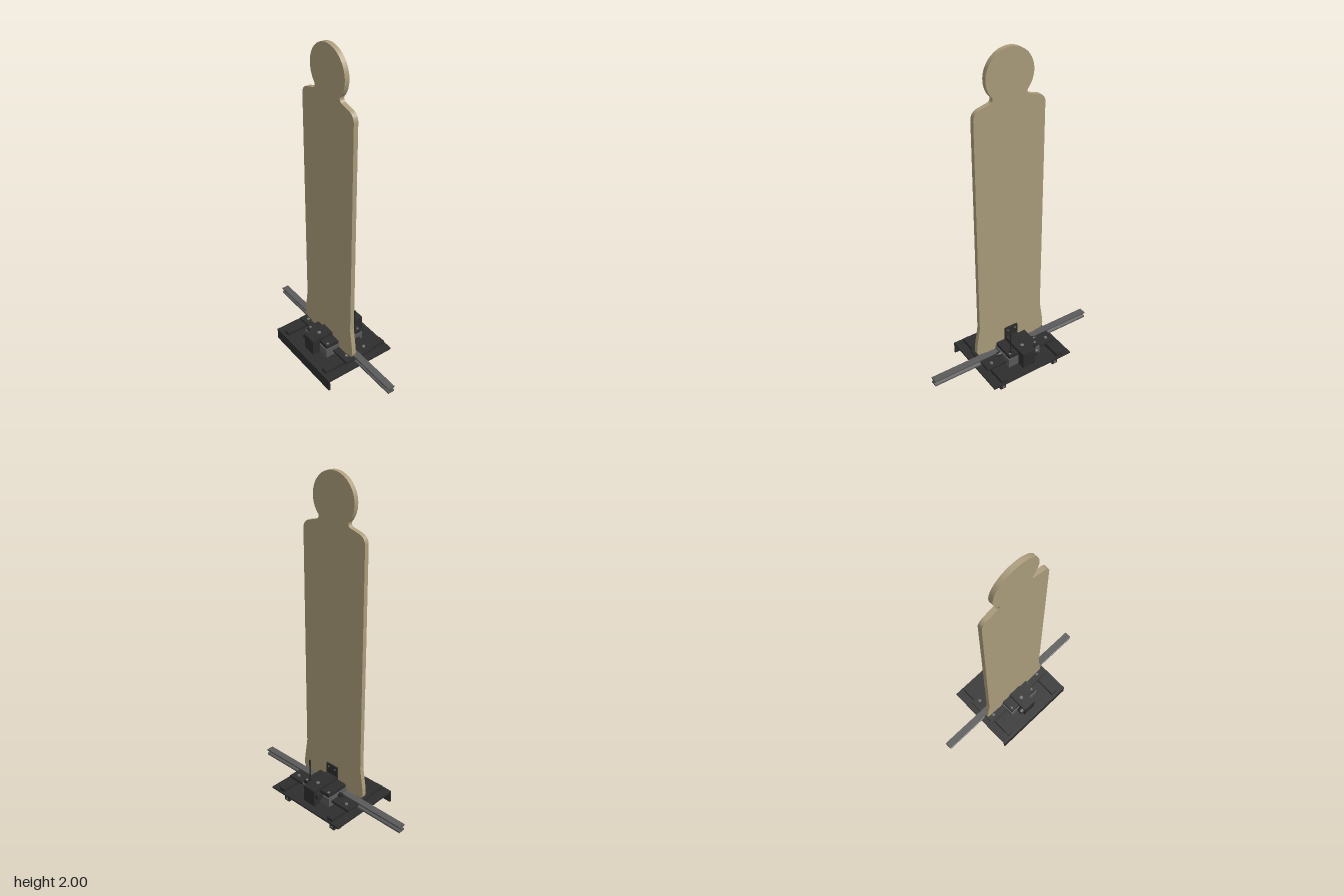
import * as THREE from 'three';

const material = (name, color, side = THREE.FrontSide) => {
  const m = new THREE.MeshStandardMaterial({ color, side });
  m.name = name;
  return m;
};

export function createModel() {
  const model = new THREE.Group();
  model.name = 'targetTrolley';
  const tan = material('tan board', 0xac9d7c);
  const black = material('black steel', 0x2d2d2d);
  const grey = material('grey metal', 0x5a5a5a);
  const light = material('bolt metal', 0x707070);

  const add = (name, geometry, mat) => {
    const mesh = new THREE.Mesh(geometry, mat);
    mesh.name = name;
    model.add(mesh);
    return mesh;
  };
  // Box given by its limits on each axis
  const box = (name, mat, x0, x1, y0, y1, z0, z1) => {
    const mesh = add(name, new THREE.BoxGeometry(x1 - x0, y1 - y0, z1 - z0), mat);
    mesh.position.set((x0 + x1) / 2, (y0 + y1) / 2, (z0 + z1) / 2);
    return mesh;
  };
  const cylinder = (name, mat, r, length, x, y, z, axis = 'y', sides = 20) => {
    const g = new THREE.CylinderGeometry(r, r, length, sides);
    if (axis === 'x') g.rotateZ(Math.PI / 2);
    if (axis === 'z') g.rotateX(Math.PI / 2);
    const mesh = add(name, g, mat);
    mesh.position.set(x, y, z);
    return mesh;
  };

  // Flat human silhouette with a tab that drops into the carriage
  const s = new THREE.Shape();
  s.moveTo(-0.178, 0.1);
  s.lineTo(0.178, 0.1);
  s.lineTo(0.178, 0.145);
  s.lineTo(0.222, 0.145);
  s.quadraticCurveTo(0.238, 0.15, 0.238, 0.18);
  s.lineTo(0.236, 0.21);
  s.lineTo(0.215, 0.345);
  s.lineTo(0.215, 1.67);
  s.quadraticCurveTo(0.212, 1.705, 0.18, 1.717);
  s.lineTo(0.115, 1.735);
  s.quadraticCurveTo(0.098, 1.745, 0.105, 1.765);
  s.absarc(0, 1.858, 0.142, -0.73, Math.PI + 0.73, false);
  s.quadraticCurveTo(-0.098, 1.745, -0.115, 1.735);
  s.lineTo(-0.18, 1.717);
  s.quadraticCurveTo(-0.212, 1.705, -0.215, 1.67);
  s.lineTo(-0.215, 0.345);
  s.lineTo(-0.236, 0.21);
  s.lineTo(-0.238, 0.18);
  s.quadraticCurveTo(-0.238, 0.15, -0.222, 0.145);
  s.lineTo(-0.178, 0.145);
  const board = add('silhouetteBoard',
    new THREE.ExtrudeGeometry(s, { depth: 0.027, bevelEnabled: false, curveSegments: 24 }), tan);
  board.position.z = 0.01;

  // Base plate with front skirt
  box('basePlate', black, -0.272, 0.272, 0.09, 0.1, -0.232, 0.225);
  box('frontSkirt', black, -0.272, 0.272, 0.025, 0.1, 0.22, 0.23);

  // Grooved cross rail, extruded along x
  const p = new THREE.Shape([
    [-0.021, 0.1], [0.021, 0.1], [0.021, 0.11], [0.006, 0.115], [0.006, 0.125], [0.021, 0.13],
    [0.021, 0.14], [-0.021, 0.14], [-0.021, 0.13], [-0.006, 0.125], [-0.006, 0.115], [-0.021, 0.11],
  ].map(([x, y]) => new THREE.Vector2(x, y)));
  const railGeometry = new THREE.ExtrudeGeometry(p, { depth: 1.09, bevelEnabled: false });
  railGeometry.translate(0, 0, -0.545).rotateY(Math.PI / 2);
  add('crossRail', railGeometry, grey).position.z = -0.007;

  for (const side of [-1, 1]) {
    // Slats and clamp plates each side of the centre box
    box('slat', black, side * 0.198 - 0.02, side * 0.198 + 0.02, 0.1, 0.122, -0.222, 0.21);
    for (const [z0, z1] of [[-0.115, -0.029], [0.015, 0.08]]) {
      box('clampPlate', black, side * 0.175 - 0.067, side * 0.175 + 0.067, 0.122, 0.136, z0, z1);
    }
    for (const z of [-0.082, 0.048]) {
      cylinder('clampBolt', light, 0.01, 0.008, side * 0.197, 0.14, z, 'y', 6);
    }
    // Side connectors
    cylinder('connector', black, 0.014, 0.02, side * 0.12, 0.145, -0.048, 'x');
    cylinder('connectorPin', black, 0.006, 0.03, side * 0.128, 0.145, -0.048, 'x', 12);
  }

  // Centre housing with raised lid
  box('housing', grey, -0.11, 0.11, 0.1, 0.16, -0.138, 0.13);
  box('housingLid', black, -0.103, 0.103, 0.16, 0.183, -0.131, 0.123);
  for (const x of [-0.089, 0.089]) {
    for (const z of [-0.117, 0.105]) cylinder('lidScrew', light, 0.008, 0.004, x, 0.184, z, 'y', 6);
  }

  // Strap over the housing with end blocks
  box('strap', black, -0.043, 0.043, 0.183, 0.205, -0.19, 0.18);
  for (const [z0, z1] of [[-0.19, -0.138], [0.13, 0.18]]) {
    box('strapEnd', black, -0.043, 0.043, 0.1, 0.183, z0, z1);
    const z = (z0 + z1) / 2;
    cylinder('strapKnob', black, 0.022, 0.024, -0.055, 0.165, z, 'x');
  }
  for (const z of [-0.114, 0.103]) cylinder('strapBolt', light, 0.012, 0.004, 0, 0.206, z, 'y', 6);

  // Upright plate behind the board
  box('uprightPlate', black, -0.043, 0.043, 0.2, 0.27, 0.001, 0.01);
  for (const x of [-0.025, 0.025]) cylinder('plateBolt', light, 0.006, 0.004, x, 0.25, 0, 'z', 6);

  // Aerial
  cylinder('aerialBase', black, 0.012, 0.02, 0.075, 0.19, -0.105);
  cylinder('aerial', black, 0.005, 0.14, 0.075, 0.255, -0.105, 'y', 12);

  // Ribbed drive unit under the plate
  box('driveUnit', grey, -0.1, 0.1, 0.02, 0.09, -0.122, 0.122);
  for (let i = 0; i < 6; i++) {
    const z = -0.125 + i * 0.05;
    box('driveRib', grey, -0.108, 0.108, 0.025, 0.085, z - 0.004, z + 0.004);
  }
  box('bottomPlate', black, -0.115, 0.115, 0.012, 0.024, -0.13, 0.13);

  // Flanged wheels and their hangers
  for (const x of [-0.187, 0.187]) {
    for (const end of [-1, 1]) {
      cylinder('wheelFlange', grey, 0.033, 0.007, x, 0.033, end * 0.149, 'z', 28);
      cylinder('wheelTread', grey, 0.024, 0.032, x, 0.035, end * 0.168, 'z', 28);
      cylinder('axle', light, 0.008, 0.06, x, 0.035, end * 0.168, 'z', 12);
      box('wheelHanger', black, x - 0.018, x + 0.018, 0.02, 0.09, end * 0.19 - 0.005, end * 0.19 + 0.005);
      box('hangerFoot', black, x - 0.022, x + 0.022, 0.072, 0.09, end * 0.17 - 0.025, end * 0.17 + 0.025);
    }
  }
  return model;
}
